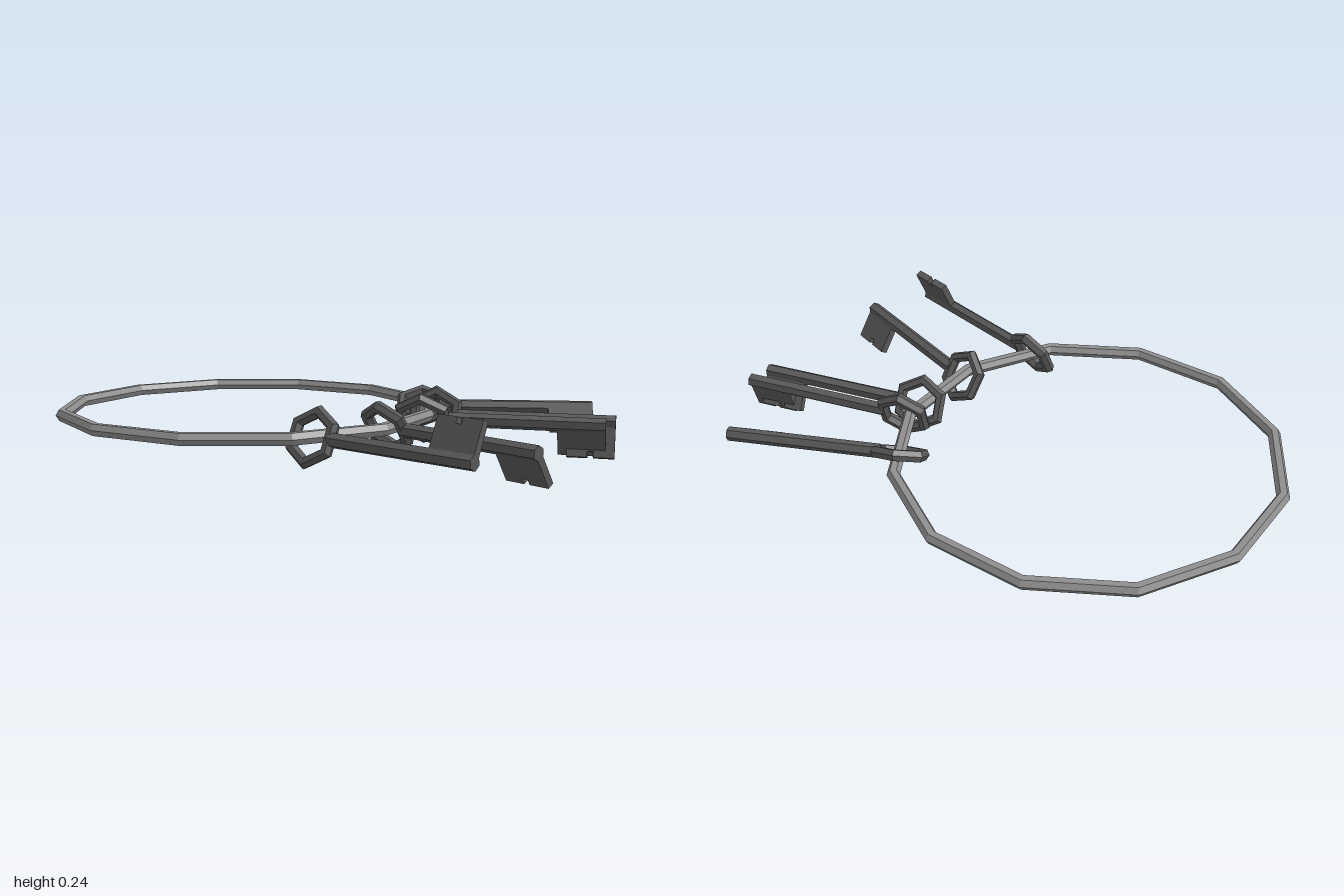
import * as THREE from 'three';

const RING_Y = 0.125;

// Faceted copy of a geometry
function mesh(name, geometry, material) {
  const flat = geometry.index ? geometry.toNonIndexed() : geometry;
  flat.computeVertexNormals();
  const m = new THREE.Mesh(flat, material);
  m.name = name;
  return m;
}

// Key lying along +x, bow centred on the origin, bit pointing to -y
function makeKey(material) {
  const key = new THREE.Group();

  // Hexagonal bow, flat side towards the shaft
  const bow = new THREE.TorusGeometry(0.085, 0.0215, 6, 6);
  bow.rotateZ(Math.PI / 6);
  key.add(mesh('bow', bow, material));

  // Six-sided shaft
  const start = 0.073, end = 0.62;
  const shaft = new THREE.CylinderGeometry(0.025, 0.025, end - start, 6);
  shaft.rotateZ(-Math.PI / 2);
  shaft.translate((start + end) / 2, 0, 0);
  key.add(mesh('shaft', shaft, material));

  // Notched bit
  const outline = [
    [0.46, 0], [0.46, -0.125], [0.53, -0.125], [0.53, -0.104],
    [0.55, -0.104], [0.55, -0.125], [0.62, -0.125], [0.62, 0],
  ].map(([x, y]) => new THREE.Vector2(x, y));
  const bit = new THREE.ExtrudeGeometry(new THREE.Shape(outline), { depth: 0.026, bevelEnabled: false });
  bit.translate(0, 0, -0.013);
  key.add(mesh('bit', bit, material));
  return key;
}

export function createModel() {
  const model = new THREE.Group();
  model.name = 'keyRing';
  const ringMetal = new THREE.MeshStandardMaterial({ color: 0x8e8e8e, flatShading: true });
  ringMetal.name = 'lightSteel';
  const keyMetal = new THREE.MeshStandardMaterial({ color: 0x585858, flatShading: true });
  keyMetal.name = 'darkIron';

  // Large twelve-sided ring lying flat
  const ring = new THREE.TorusGeometry(0.667, 0.023, 6, 12);
  ring.rotateX(Math.PI / 2);
  ring.translate(-0.31, RING_Y, -0.075);
  model.add(mesh('ring', ring, ringMetal));

  // Keys: bow x, bow z, shaft direction x and z, roll about the shaft in degrees
  const keys = [
    [0.295, -0.295, 0.61, -0.105, -57],
    [0.38, -0.08, 1, 0, -18],
    [0.35, 0.0, 1, 0, 30],
    [0.27, 0.215, 0.53, 0.335, 31],
    [0.08, 0.455, 0.55, 0.28, 156],
  ];
  keys.forEach(([x, z, dx, dz, roll], i) => {
    const key = makeKey(keyMetal);
    key.name = 'key' + (i + 1);
    key.position.set(x, RING_Y, z);
    key.rotation.order = 'YXZ';
    key.rotation.y = Math.atan2(-dz, dx);
    // Roll about the shaft before turning it outwards
    key.rotation.x = THREE.MathUtils.degToRad(roll);
    model.add(key);
  });
  return model;
}
